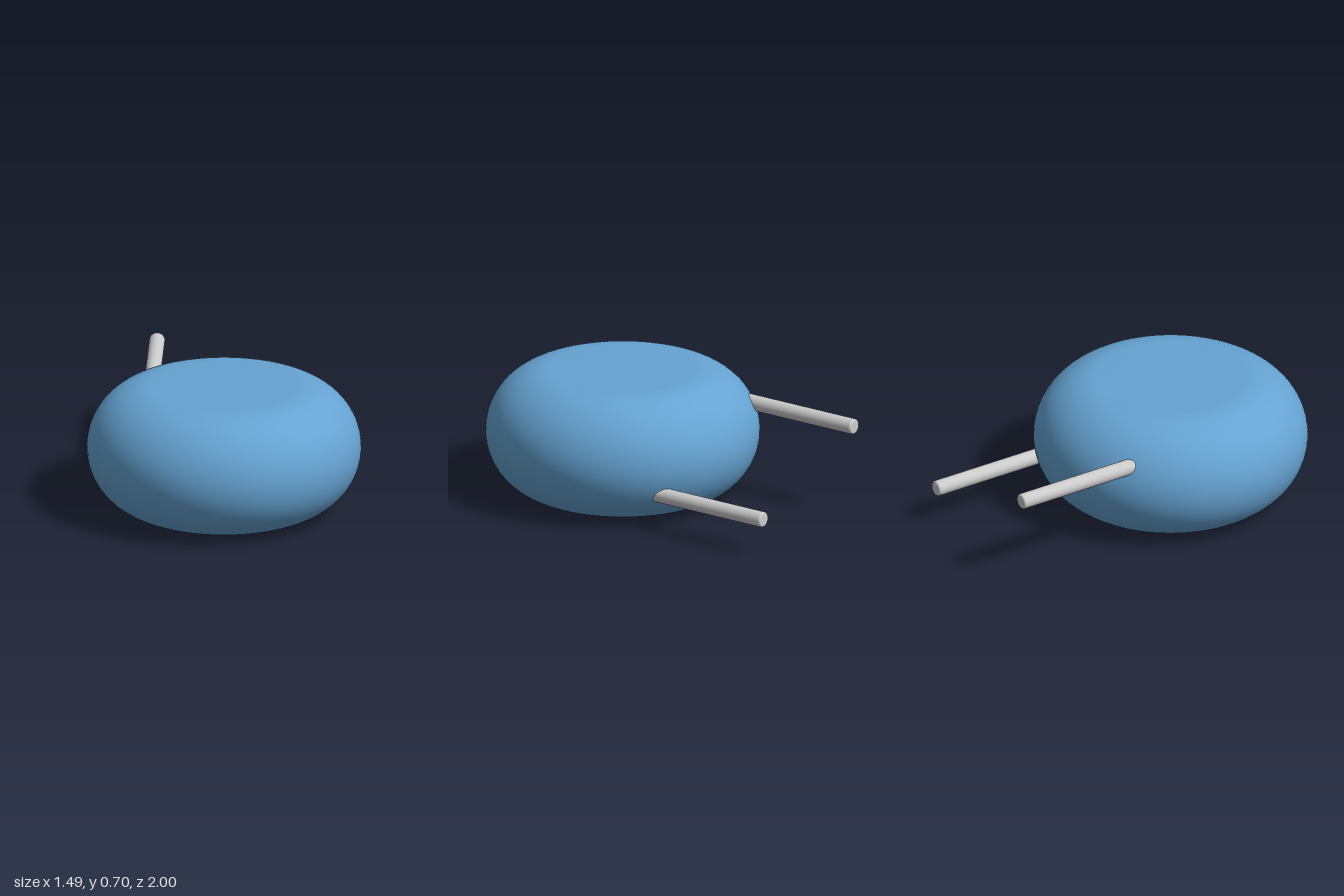
import * as THREE from 'three';

const HEIGHT = 0.696, RADIUS = 0.745, BODY_Z = 0.255;
const ROD_RADIUS = 0.043, ROD_BACK = -1, ROD_FRONT = -0.1, ROD_BEVEL = 0.012;

// Quarter or half round of a lathe profile, from angle a to angle b
function arc(cx, cy, r, a, b, steps) {
  return Array.from({ length: steps + 1 }, (_, i) => {
    const t = a + (b - a) * i / steps;
    return new THREE.Vector2(cx + r * Math.cos(t), cy + r * Math.sin(t));
  });
}

// Flat-topped disc with a fully rounded rim
function createBody() {
  const r = HEIGHT / 2;
  const profile = [
    new THREE.Vector2(0, 0),
    ...arc(RADIUS - r, r, r, -Math.PI / 2, Math.PI / 2, 40),
    new THREE.Vector2(0, HEIGHT),
  ];
  const body = new THREE.Mesh(
    new THREE.LatheGeometry(profile, 96),
    new THREE.MeshStandardMaterial({ color: 0x66a3d2 }),
  );
  body.name = 'roundedBody';
  body.position.z = BODY_Z;
  return body;
}

// Round rod running backwards out of the body, with softened ends
function createRod(name, x, y) {
  const length = ROD_FRONT - ROD_BACK, inner = ROD_RADIUS - ROD_BEVEL;
  const profile = [
    new THREE.Vector2(0, 0),
    ...arc(inner, ROD_BEVEL, ROD_BEVEL, -Math.PI / 2, 0, 5),
    ...arc(inner, length - ROD_BEVEL, ROD_BEVEL, 0, Math.PI / 2, 5),
    new THREE.Vector2(0, length),
  ];
  const rod = new THREE.Mesh(
    new THREE.LatheGeometry(profile, 32),
    new THREE.MeshStandardMaterial({ color: 0xcccccc }),
  );
  rod.name = name;
  rod.rotation.x = Math.PI / 2;
  rod.position.set(x, y, ROD_BACK);
  return rod;
}

export function createModel() {
  const model = new THREE.Group();
  model.name = 'roundedDiscWithRods';
  model.add(
    createBody(),
    createRod('upperRightRod', -0.416, 0.502),
    createRod('lowerLeftRod', 0.416, 0.202),
  );
  return model;
}
